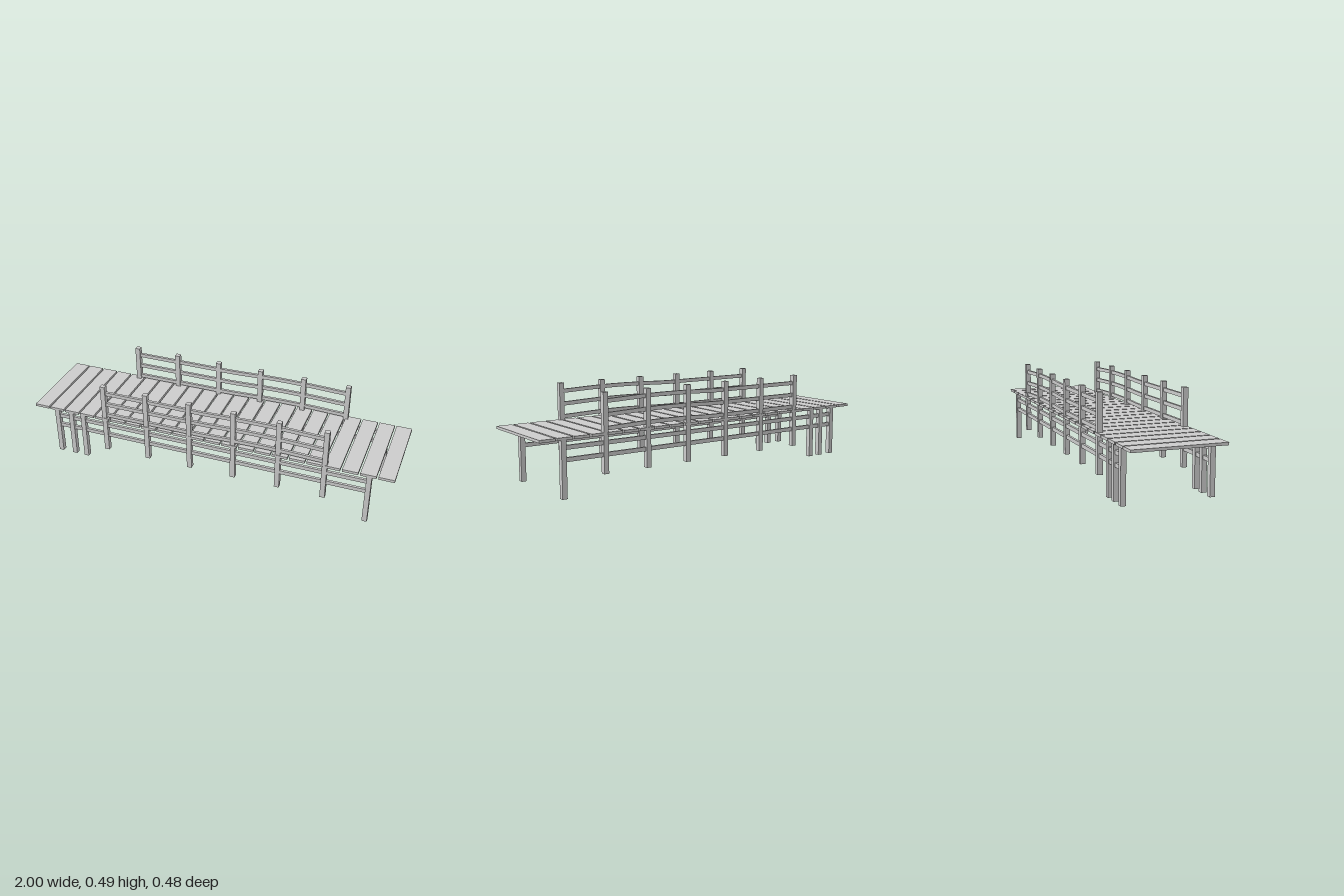
import * as THREE from 'three';

const material = new THREE.MeshStandardMaterial({ color: 0xcccccc, flatShading: true });

// Box spanning x0..x1 and y0..y1, centred on z; an optional sag rule offsets y along x
function beam(name, x0, x1, y0, y1, z, depth, bend) {
  const geo = new THREE.BoxGeometry(x1 - x0, y1 - y0, depth, bend ? 20 : 1, 1, 1);
  geo.translate((x0 + x1) / 2, (y0 + y1) / 2, z);
  if (bend) {
    const p = geo.attributes.position;
    for (let i = 0; i < p.count; i++) p.setY(i, p.getY(i) + bend(p.getX(i)));
    geo.computeVertexNormals();
  }
  const mesh = new THREE.Mesh(geo, material);
  mesh.name = name;
  return mesh;
}

export function createModel() {
  const bridge = new THREE.Group();
  bridge.name = 'footbridge';

  // Deck of crosswise planks
  const deck = new THREE.Group();
  deck.name = 'deck';
  const count = 22, plank = 0.082, pitch = (2 - plank) / (count - 1);
  for (let i = 0; i < count; i++) {
    const x = -1 + i * pitch;
    deck.add(beam('plank', x, x + plank, 0.283, 0.297, 0, 0.478));
  }
  bridge.add(deck);

  // Handrails bow up slightly toward one end
  const bow = (x) => (x > 0 && x < 0.62 ? 0.008 * Math.sin((Math.PI * x) / 0.62) : 0);
  const w = 0.0265;

  for (const side of [1, -1]) {
    const z = side * 0.223;
    const frame = new THREE.Group();
    frame.name = side > 0 ? 'frontSide' : 'backSide';

    // Tall railing posts
    for (let i = 0; i < 6; i++) {
      const x = -0.577 + i * 0.2444;
      frame.add(beam('railingPost', x - w / 2, x + w / 2, 0.092, 0.492, z, w));
    }
    // Support legs: three at one end, one longer at the other
    for (const [x, foot] of [[-0.87, 0.015], [-0.785, 0.015], [-0.712, 0.015], [0.873, 0]]) {
      frame.add(beam('leg', x - w / 2, x + w / 2, foot, 0.284, z, w));
    }
    // Lower stringers under the deck
    for (const y of [0.246, 0.187]) {
      frame.add(beam('lowerRail', -0.87, 0.873, y - 0.0105, y + 0.0105, z, 0.014));
    }
    // Handrails
    for (const y of [0.448, 0.381, 0.314]) {
      frame.add(beam('handrail', -0.577, 0.645, y - 0.01, y + 0.01, z, 0.014, bow));
    }
    bridge.add(frame);
  }
  return bridge;
}
